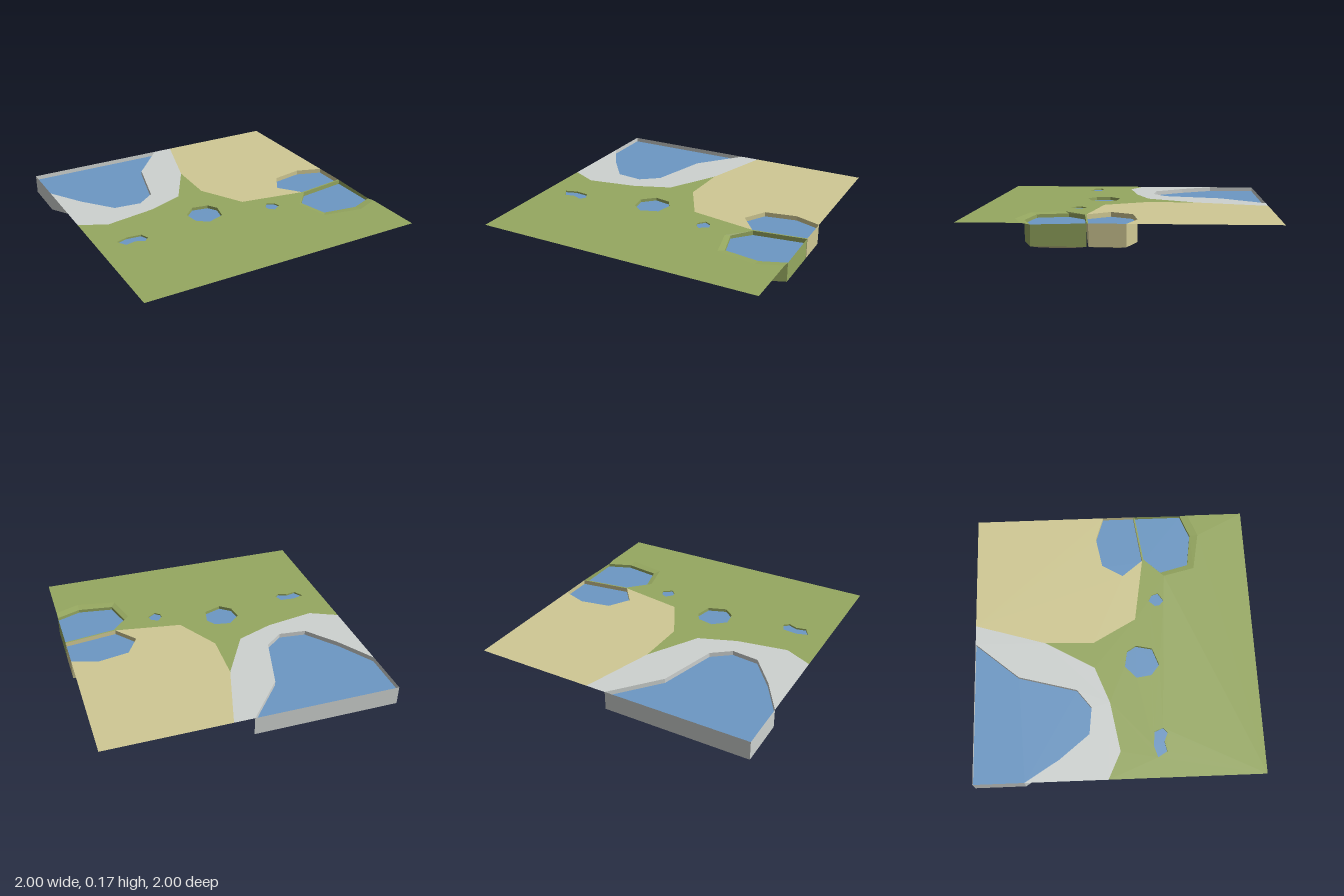
import * as THREE from 'three';

const GROUND = 0.172;

const mat = (name, color) => {
  const m = new THREE.MeshStandardMaterial({ color, side: THREE.DoubleSide });
  m.name = name;
  return m;
};

// Flat sheet from [x, z] points at height y, with optional holes
function sheet(points, y, holes = []) {
  const toVec = ([x, z]) => new THREE.Vector2(x, -z);
  const shape = new THREE.Shape(points.map(toVec));
  holes.forEach(h => shape.holes.push(new THREE.Path(h.map(toVec))));
  return new THREE.ShapeGeometry(shape).rotateX(-Math.PI / 2).translate(0, y, 0);
}

// Faceted strip joining two rows of [x, y, z] points
function band(upper, lower, closed = true) {
  const pos = [];
  const n = upper.length;
  for (let i = 0; i < (closed ? n : n - 1); i++) {
    const j = (i + 1) % n;
    pos.push(...upper[i], ...lower[i], ...lower[j], ...upper[i], ...lower[j], ...upper[j]);
  }
  const g = new THREE.BufferGeometry();
  g.setAttribute('position', new THREE.Float32BufferAttribute(pos, 3));
  g.computeVertexNormals();
  return g;
}

const at = (points, y) => points.map(([x, z]) => [x, y, z]);

// Outline scaled toward its middle
function inset(points, k) {
  const cx = points.reduce((s, p) => s + p[0], 0) / points.length;
  const cz = points.reduce((s, p) => s + p[1], 0) / points.length;
  return points.map(([x, z]) => [cx + (x - cx) * k, cz + (z - cz) * k]);
}

export function createModel() {
  const root = new THREE.Group();
  root.name = 'terrainTile';
  const grass = mat('grass', 0x96a860);
  const sand = mat('sand', 0xd0c994);
  const rock = mat('rock', 0xced2d0);
  const water = mat('water', 0x6c98c4);

  const add = (parent, name, geometry, material) => {
    const m = new THREE.Mesh(geometry, material);
    m.name = name;
    parent.add(m);
  };

  // Shorelines
  const lake = [[-1, -0.65], [-0.85, -0.41], [-0.68, -0.2], [-0.49, -0.18], [-0.36, -0.28],
    [-0.25, -0.69], [0.01, -1], [-1, -1]];
  const sandPond = [[1, -0.05], [0.82, -0.11], [0.6, -0.07], [0.51, 0.08], [0.63, 0.23], [1, 0.18]];
  const grassPond = [[0.64, 0.24], [0.53, 0.36], [0.585, 0.565], [0.83, 0.6], [1, 0.535], [1, 0.19]];
  const roundPond = [[-0.2, 0.065], [-0.085, 0.085], [-0.045, 0.15], [-0.07, 0.265],
    [-0.195, 0.31], [-0.27, 0.25], [-0.285, 0.145]];
  const puddle = [[0.3, 0.26], [0.345, 0.285], [0.36, 0.33], [0.3, 0.37], [0.265, 0.34], [0.26, 0.305]];
  const longPuddle = [[-0.86, 0.265], [-0.78, 0.24], [-0.68, 0.25], [-0.655, 0.31],
    [-0.69, 0.34], [-0.75, 0.315], [-0.82, 0.33]];

  // Borders between the ground areas
  const rockEdge = [[-1, -0.08], [-0.81, 0.01], [-0.46, -0.05], [-0.2, -0.15], [0, -0.5]];
  const sandEdge = [[0, -0.5], [-0.01, -0.15], [0.16, 0.155], [0.63, 0.23]];
  const bankEdge = [[0.64, 0.24], [0.5, 0.385], [0.555, 0.61], [0.83, 0.66], [1, 0.595]];

  // Ground
  add(root, 'rockGround', sheet([...rockEdge, [0.15, -1], ...lake.slice(0, 7).reverse()], GROUND), rock);
  add(root, 'sandGround', sheet([[0.15, -1], ...sandEdge, ...sandPond.slice(0, 4).reverse(), [1, -1]], GROUND), sand);
  add(root, 'grassGround', sheet([...rockEdge, ...sandEdge.slice(1), [1, 0.18], [1, 0.19],
    ...bankEdge, [1, 1], [-1, 1]], GROUND, [roundPond, puddle, longPuddle]), grass);

  // Gentle bank running down to the grass pond
  const bankLow = grassPond.slice(0, 5).map(([x, z], i) => [x, i ? 0.163 : GROUND, z]);
  add(root, 'grassBank', band(at(bankEdge, GROUND), bankLow, false), grass);

  // Basins: walls, tapered sandy bed and water
  const basins = [
    { name: 'lake', outline: lake, wall: rock, level: 0.14, foot: 0.04, bottom: 0.003, k: 0.58 },
    { name: 'sandPond', outline: sandPond, wall: sand, level: 0.14, foot: 0.028, bottom: 0.004, k: 0.55 },
    { name: 'grassPond', outline: grassPond, wall: grass, level: 0.14, foot: 0.028, bottom: 0, k: 0.55,
      top: [...bankLow, [1, GROUND, 0.19]] },
    { name: 'roundPond', outline: roundPond, wall: grass, level: 0.15, foot: 0.117, bottom: 0.107, k: 0.7 },
    { name: 'puddle', outline: puddle, wall: grass, level: 0.163, foot: 0.16, bottom: 0.153, k: 0.6 },
    { name: 'longPuddle', outline: longPuddle, wall: grass, level: 0.16, foot: 0.153, bottom: 0.149, k: 0.75 },
  ];
  for (const { name, outline, wall, level, foot, bottom, k, top } of basins) {
    const g = new THREE.Group();
    g.name = name;
    const core = inset(outline, k);
    add(g, 'wall', band(top || at(outline, GROUND), at(outline, foot)), wall);
    add(g, 'bedSlope', band(at(outline, foot), at(core, bottom)), sand);
    add(g, 'bed', sheet(core, bottom), sand);
    add(g, 'waterSurface', sheet(outline, level), water);
    root.add(g);
  }
  return root;
}
